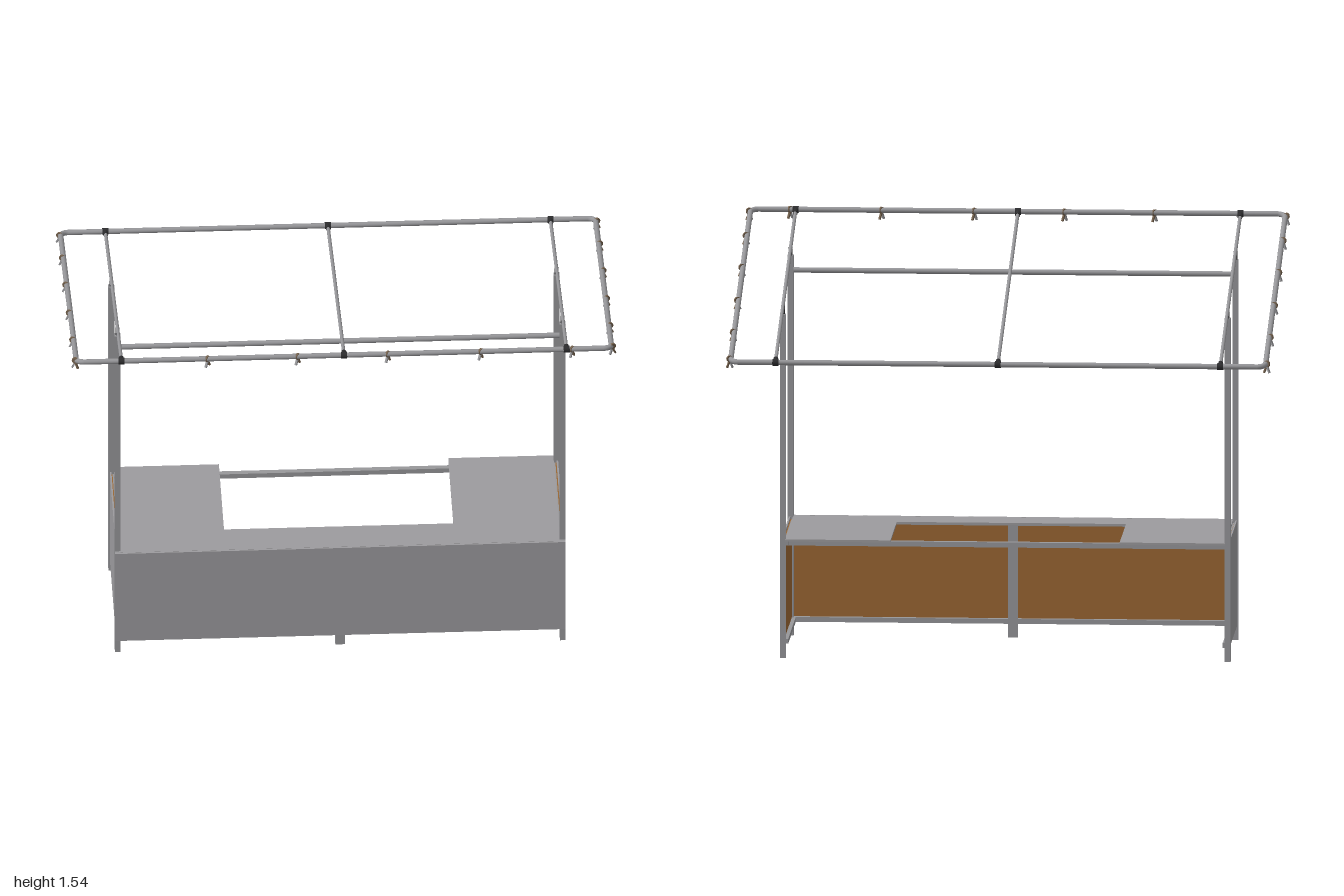
import * as THREE from 'three';

const paint = (name, color) => {
  const m = new THREE.MeshStandardMaterial({ color });
  m.name = name;
  return m;
};

export function createModel() {
  const panelGrey = paint('panelGrey', 0x9c9b9e);
  const metal = paint('metalGrey', 0x97979a);
  const wood = paint('woodBrown', 0x9a6632);
  const dark = paint('couplerDark', 0x2c2c2e);
  const clipMat = paint('clipBrown', 0x73604c);

  const model = new THREE.Group();
  model.name = 'marketStall';

  const add = (parent, name, geo, mat, x, y, z) => {
    const m = new THREE.Mesh(geo, mat);
    m.name = name;
    m.position.set(x, y, z);
    parent.add(m);
    return m;
  };
  // box given by its two opposite corners
  const box = (parent, name, mat, [x0, x1], [y0, y1], [z0, z1]) =>
    add(parent, name, new THREE.BoxGeometry(x1 - x0, y1 - y0, z1 - z0), mat,
      (x0 + x1) / 2, (y0 + y1) / 2, (z0 + z1) / 2);
  // round tube along the x or z axis
  const tube = (parent, name, mat, axis, r, len, x, y, z) => {
    const geo = new THREE.CylinderGeometry(r, r, len, 12);
    if (axis === 'x') geo.rotateZ(Math.PI / 2);
    if (axis === 'z') geo.rotateX(Math.PI / 2);
    return add(parent, name, geo, mat, x, y, z);
  };

  // ---- Counter ----
  const counter = new THREE.Group();
  counter.name = 'counter';
  model.add(counter);

  // U-shaped worktop, drawn in x and -z
  const u = new THREE.Shape();
  [[-0.806, -0.34], [0.806, -0.34], [0.806, 0.197], [0.42, 0.197], [0.42, -0.212],
    [-0.42, -0.212], [-0.42, 0.197], [-0.806, 0.197]]
    .forEach(([x, y], i) => (i ? u.lineTo(x, y) : u.moveTo(x, y)));
  const top = new THREE.ExtrudeGeometry(u, { depth: 0.008, bevelEnabled: false });
  top.rotateX(-Math.PI / 2);
  add(counter, 'worktop', top, panelGrey, 0, 0.434, 0);

  // Front panel with a wooden inner face
  box(counter, 'frontPanel', panelGrey, [-0.825, 0.825], [0.05, 0.442], [0.341, 0.348]);
  box(counter, 'frontPanelInside', wood, [-0.805, 0.805], [0.052, 0.432], [0.336, 0.341]);
  box(counter, 'frontBottomRail', metal, [-0.805, 0.805], [0.05, 0.068], [0.318, 0.337]);
  box(counter, 'frontTopRail', metal, [-0.805, 0.805], [0.414, 0.433], [0.318, 0.337]);
  box(counter, 'backRail', metal, [-0.806, 0.806], [0.414, 0.433], [-0.165, -0.145]);
  box(counter, 'middleLeg', metal, [-0.018, 0.018], [0, 0.433], [0.316, 0.3365]);

  for (const s of [-1, 1]) {
    const side = new THREE.Group();
    side.name = s > 0 ? 'leftSide' : 'rightSide';
    counter.add(side);
    const span = (a, b) => (s > 0 ? [a, b] : [-b, -a]);
    box(side, 'sidePanel', panelGrey, span(0.815, 0.821), [0.05, 0.442], [-0.166, 0.312]);
    box(side, 'sidePanelInside', wood, span(0.81, 0.815), [0.052, 0.432], [-0.166, 0.312]);
    box(side, 'sideBottomRail', metal, span(0.796, 0.811), [0.05, 0.068], [-0.166, 0.312]);
    box(side, 'sideTopRail', metal, span(0.796, 0.811), [0.416, 0.433], [-0.166, 0.312]);
    box(side, 'frontLeg', metal, span(0.805, 0.825), [0, 0.05], [0.331, 0.348]);
    box(side, 'cornerUpright', metal, span(0.805, 0.825), [0.05, 0.442], [0.331, 0.341]);
    // Tall posts carrying the roof
    box(side, 'frontPost', metal, span(0.804, 0.826), [0, 1.41], [0.31, 0.331]);
    box(side, 'backPost', metal, span(0.804, 0.826), [0, 1.275], [-0.185, -0.165]);
    tube(side, 'frontPostCoupler', dark, 'y', 0.007, 0.04, s * 0.815, 1.42, 0.32);
    tube(side, 'backPostCoupler', dark, 'y', 0.007, 0.04, s * 0.815, 1.285, -0.175);
  }
  tube(model, 'upperCrossRail', metal, 'x', 0.01, 1.61, 0, 1.355, 0.32);

  // ---- Sloping roof frame, higher at the front ----
  const slope = 0.263, hx = 0.98, hz = 0.673, r = 0.01, bend = 0.03;
  const roof = new THREE.Group();
  roof.name = 'roofFrame';
  roof.position.set(0, 1.35, -0.005);
  roof.rotation.x = -slope;
  model.add(roof);

  for (const s of [-1, 1]) {
    tube(roof, s > 0 ? 'frontRoofTube' : 'backRoofTube', metal, 'x', r, 2 * (hx - bend), 0, 0, s * hz);
    tube(roof, 'sideRoofTube', metal, 'z', r, 2 * (hz - bend), s * hx, 0, 0);
    for (const t of [-1, 1]) {
      const arc = new THREE.TorusGeometry(bend, r, 10, 8, Math.PI / 2);
      arc.rotateX(Math.PI / 2);
      const turn = s > 0 ? (t > 0 ? 0 : Math.PI / 2) : (t > 0 ? -Math.PI / 2 : Math.PI);
      arc.rotateY(turn);
      add(roof, 'roofCorner', arc, metal, s * (hx - bend), 0, t * (hz - bend));
    }
  }
  // Thin rafters with dark couplers at their ends
  for (const x of [-0.815, 0, 0.815]) {
    tube(roof, 'rafter', metal, 'z', 0.0065, 2 * hz, x, 0, 0);
    for (const s of [-1, 1]) {
      tube(roof, 'rafterSleeve', dark, 'z', 0.009, 0.03, x, 0, s * (hz - 0.018));
      tube(roof, 'rafterCoupler', dark, 'x', 0.0125, 0.022, x, 0, s * hz);
    }
  }

  // ---- Small spring clips hanging from the frame ----
  const addClip = (x, z, turn) => {
    const clip = new THREE.Group();
    clip.name = 'clip';
    clip.position.set(x, 0, z);
    clip.rotation.set(slope, turn, 0, 'XYZ');
    tube(clip, 'clipRing', clipMat, 'z', 0.0125, 0.008, 0, 0, 0);
    for (const s of [-1, 1]) {
      const arm = box(clip, 'clipArm', s > 0 ? clipMat : metal,
        [-0.003, 0.003], [-0.014, 0.014], [-0.004, 0.004]);
      arm.position.set(s * 0.006, -0.02, 0);
      arm.rotation.z = s * 0.4;
    }
    roof.add(clip);
  };
  for (const x of [-0.5, -0.17, 0.16, 0.5, 0.835]) addClip(x, hz, Math.PI / 2 - 0.7);
  for (const s of [-1, 1])
    for (const z of [0.655, 0.44, 0.16, -0.13, -0.41, -0.645]) addClip(s * (hx + 0.004), z, s * 0.5);

  return model;
}
